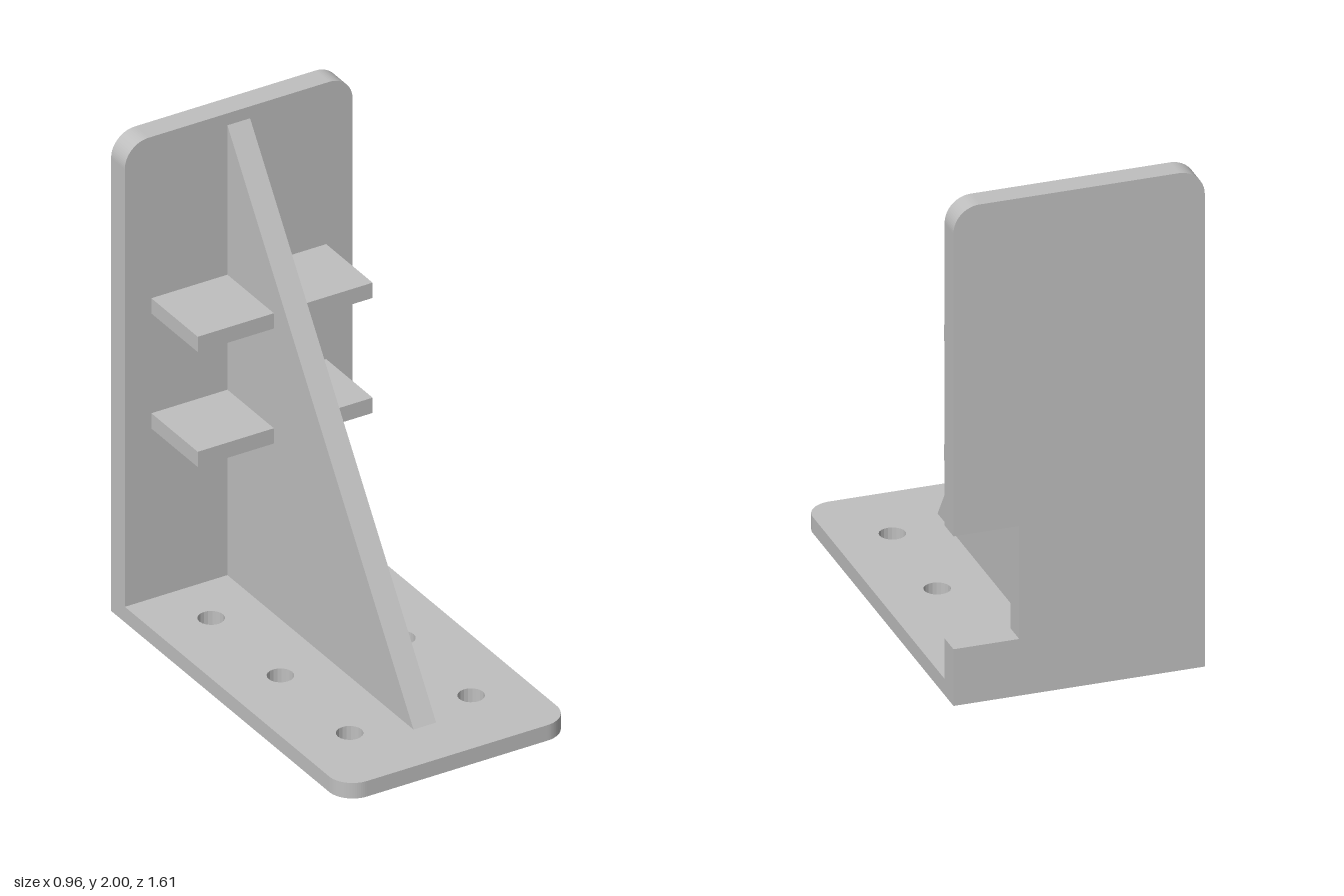
import * as THREE from 'three';

const W = 0.482, D = 0.805, H = 2, BASE = 0.065, WALL = -0.71, R = 0.1;

// Plate outline: square corners at the start edge, rounded ones at the far edge
function plateShape(start, end, notch) {
  const s = new THREE.Shape();
  s.moveTo(-W, start);
  s.lineTo(W, start);
  if (notch) {
    s.lineTo(W, notch.y0);
    s.lineTo(notch.x, notch.y0);
    s.lineTo(notch.x, notch.y1);
    s.lineTo(W, notch.y1);
  }
  s.absarc(W - R, end - R, R, 0, Math.PI / 2, false);
  s.absarc(-W + R, end - R, R, Math.PI / 2, Math.PI, false);
  s.closePath();
  return s;
}

const extrude = (shape, depth) =>
  new THREE.ExtrudeGeometry(shape, { depth, bevelEnabled: false, curveSegments: 10 });

export function createModel() {
  const group = new THREE.Group();
  const steel = new THREE.MeshStandardMaterial({ color: 0xc0c0c0 });
  steel.name = 'grey steel';
  const add = (name, geometry) => {
    const mesh = new THREE.Mesh(geometry, steel);
    mesh.name = name;
    group.add(mesh);
    return mesh;
  };

  // Base plate with six bolt holes, laid flat with its rounded end to the front
  const baseShape = plateShape(WALL, D);
  for (const x of [-0.257, 0.257]) {
    for (const z of [-0.48, 0, 0.48]) {
      const hole = new THREE.Path();
      hole.absarc(x, z, 0.05, 0, Math.PI * 2, true);
      baseShape.holes.push(hole);
    }
  }
  const base = add('basePlate', extrude(baseShape, BASE));
  base.rotation.x = Math.PI / 2;
  base.position.y = BASE;

  // Upright back plate with a side notch
  const back = add('backPlate', extrude(plateShape(0, H, { x: 0.23, y0: 0.228, y1: 0.682 }), WALL + D));
  back.position.z = -D;

  // Triangular rib: drawn in (-z, y), then turned to run front to back
  const rib = new THREE.Shape();
  rib.moveTo(-0.58, BASE);
  rib.lineTo(-WALL, BASE);
  rib.lineTo(-WALL, 1.95);
  rib.closePath();
  const ribMesh = add('gussetRib', extrude(rib, 0.096));
  ribMesh.rotation.y = Math.PI / 2;
  ribMesh.position.x = -0.048;

  // Two pairs of small shelves beside the rib
  for (const y of [0.81, 1.292]) {
    for (const side of [-1, 1]) {
      const shelf = add(side > 0 ? 'leftShelf' : 'rightShelf', new THREE.BoxGeometry(0.322, 0.064, 0.322));
      shelf.position.set(side * 0.209, y, WALL + 0.161);
    }
  }
  return group;
}
